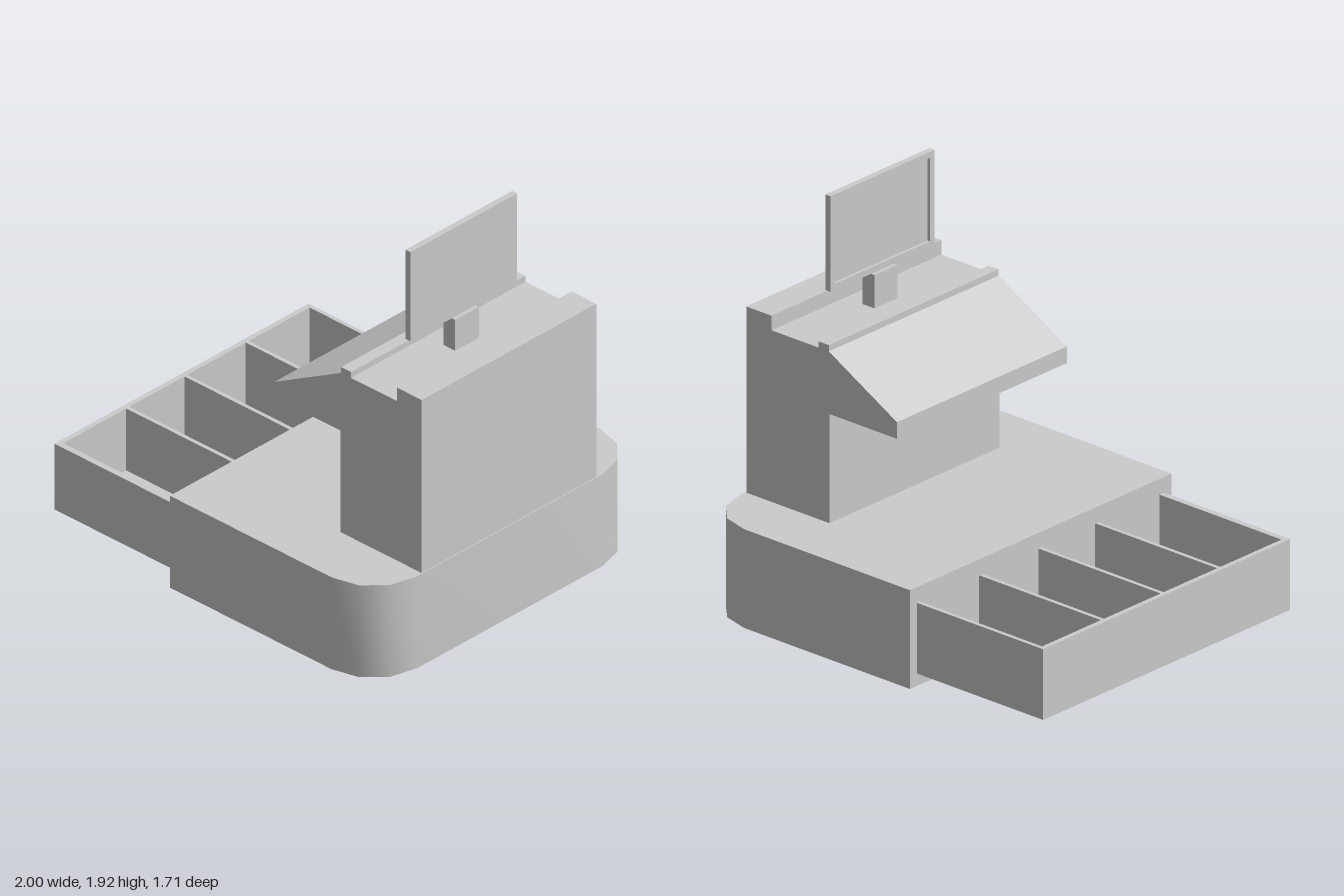
import * as THREE from 'three';
import { toCreasedNormals } from 'three/addons/utils/BufferGeometryUtils.js';

const material = new THREE.MeshStandardMaterial({ color: 0xcccccc });

function add(group, name, geometry) {
  const mesh = new THREE.Mesh(geometry, material);
  mesh.name = name;
  group.add(mesh);
  return mesh;
}

// Box given by its min and max corners
function box(x0, x1, y0, y1, z0, z1) {
  return new THREE.BoxGeometry(x1 - x0, y1 - y0, z1 - z0)
    .translate((x0 + x1) / 2, (y0 + y1) / 2, (z0 + z1) / 2);
}

const toVectors = (points) => points.map(([x, y]) => new THREE.Vector2(x, y));

function rectangle(x0, x1, y0, y1) {
  return toVectors([[x0, y0], [x1, y0], [x1, y1], [x0, y1]]);
}

const extrude = (shape, depth) =>
  new THREE.ExtrudeGeometry(shape, { depth, bevelEnabled: false });

// Extrude a plan drawn in (x, -z) upwards from y0 to y1
const extrudeUp = (shape, y0, y1) =>
  extrude(shape, y1 - y0).rotateX(-Math.PI / 2).translate(0, y0, 0);

export function createModel() {
  const model = new THREE.Group();
  model.name = 'cashRegister';

  // Base: square at the drawer end, rounded corners at the other
  const halfDepth = 0.855, radius = 0.265, steps = 3;
  const outline = [[-0.25, halfDepth], [-0.25, -halfDepth]];
  for (const side of [-1, 1]) {
    for (let i = 0; i <= steps; i++) {
      const angle = (side < 0 ? i - steps : i) / steps * Math.PI / 2;
      outline.push([
        1 - radius + radius * Math.cos(angle),
        side * (halfDepth - radius) + radius * Math.sin(angle),
      ]);
    }
  }
  add(model, 'base', toCreasedNormals(
    extrudeUp(new THREE.Shape(toVectors(outline)), 0, 0.475), 0.7));

  // Open drawer: four compartments separated by thin dividers
  const drawer = new THREE.Group();
  drawer.name = 'drawer';
  model.add(drawer);
  const plan = new THREE.Shape(rectangle(-1, -0.24, -0.805, 0.81));
  const compartments = [[-0.79, -0.405], [-0.385, -0.015], [0.005, 0.355], [0.375, 0.775]];
  for (const [z0, z1] of compartments) {
    plan.holes.push(new THREE.Path(rectangle(-0.975, -0.25, -z1, -z0)));
  }
  add(drawer, 'drawerWalls', extrudeUp(plan, 0.08, 0.4));
  add(drawer, 'drawerFloor', box(-1, -0.24, 0.06, 0.08, -0.81, 0.805));

  // Body: side profile with overhanging sloped key panel, ledge and rear rim
  const profile = new THREE.Shape(toVectors([
    [0.5, 0.475], [0.995, 0.475], [0.995, 1.37], [0.845, 1.37], [0.845, 1.3],
    [0.565, 1.3], [0.565, 1.33], [0.505, 1.33], [0.505, 1.3],
    [0.1, 1.08], [0.1, 1.0], [0.5, 1.0],
  ]));
  add(model, 'body', extrude(profile, 1.11).translate(0, 0, -0.555));

  // Display: stem, backing panel and raised frame facing -x
  const display = new THREE.Group();
  display.name = 'display';
  model.add(display);
  add(display, 'stem', box(0.67, 0.74, 1.3, 1.46, -0.075, 0.075));
  add(display, 'screen', box(0.705, 0.72, 1.46, 1.92, -0.34, 0.34));
  const frame = new THREE.Shape(rectangle(-0.34, 0.34, 1.46, 1.92));
  frame.holes.push(new THREE.Path(rectangle(-0.31, 0.31, 1.49, 1.89)));
  add(display, 'screenFrame',
    extrude(frame, 0.015).rotateY(-Math.PI / 2).translate(0.705, 0, 0));

  return model;
}
